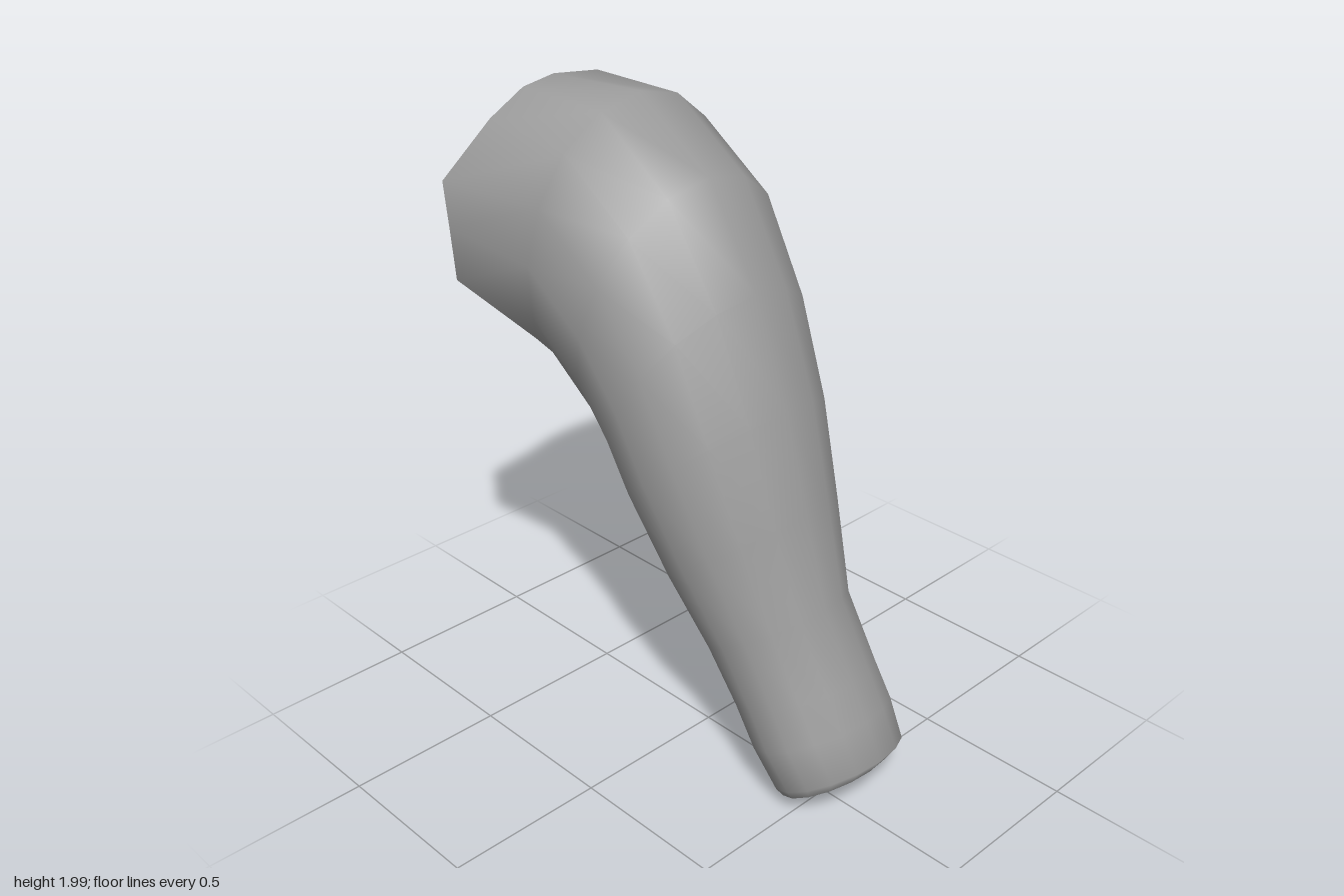
import * as THREE from 'three';

const SIDES = 16;

// Ragged shoulder opening, from the top round the front, underarm and back
const shoulderRim = [
  [-0.61, 2.0, 0.03], [-0.615, 1.98, 0.14], [-0.62, 1.91, 0.26], [-0.69, 1.74, 0.39],
  [-0.68, 1.6, 0.385], [-0.67, 1.44, 0.38], [-0.5, 1.26, 0.23], [-0.49, 1.19, 0.14],
  [-0.48, 1.1, 0.05], [-0.48, 1.22, -0.12], [-0.55, 1.32, -0.24], [-0.65, 1.45, -0.34],
  [-0.68, 1.53, -0.38], [-0.66, 1.7, -0.36], [-0.63, 1.87, -0.28], [-0.615, 1.98, -0.14],
];

// Cross-sections down the sleeve: outer x, y, inner x, y, front z, back z
const sections = [
  [-0.29, 2.0, -0.42, 1.125, 0.36, -0.4],
  [0.0, 1.82, -0.25, 1.02, 0.375, -0.385],
  [0.18, 1.53, -0.2, 0.92, 0.35, -0.36],
  [0.31, 1.22, -0.16, 0.83, 0.33, -0.33],
  [0.4, 0.93, -0.02, 0.62, 0.29, -0.28],
  [0.48, 0.65, 0.11, 0.43, 0.235, -0.23],
  [0.58, 0.43, 0.2, 0.29, 0.215, -0.25],
  [0.63, 0.32, 0.28, 0.16, 0.21, -0.265],
  [0.68, 0.2, 0.36, 0.035, 0.185, -0.26],
  [0.65, 0.15, 0.385, 0.01, 0.16, -0.22],
];

// Oval ring starting at the outer edge and turning towards the front
function ovalRing([ox, oy, ix, iy, front, back]) {
  return Array.from({ length: SIDES }, (_, k) => {
    const a = (k / SIDES) * Math.PI * 2;
    const t = (1 - Math.cos(a)) / 2;
    const z = (front + back) / 2 + ((front - back) / 2) * Math.sin(a);
    return [ox + (ix - ox) * t, oy + (iy - oy) * t, z];
  });
}

// Joins the rings into one smooth open tube, leaving out the quads that skip() names
function loft(rings, skip) {
  const index = [];
  for (let r = 0; r < rings.length - 1; r++) {
    for (let k = 0; k < SIDES; k++) {
      if (skip(r, k)) continue;
      const a = r * SIDES + k;
      const b = r * SIDES + ((k + 1) % SIDES);
      index.push(a, b, a + SIDES, b, b + SIDES, a + SIDES);
    }
  }
  const geometry = new THREE.BufferGeometry();
  geometry.setAttribute('position', new THREE.Float32BufferAttribute(rings.flat(2), 3));
  geometry.setIndex(index);
  geometry.computeVertexNormals();
  return geometry;
}

export function createModel() {
  const group = new THREE.Group();
  group.name = 'armSleeve';

  const rings = [shoulderRim, ...sections.map(ovalRing)];
  // Small hole just above the cuff, on the front of the inner side
  const hole = (r, k) => r === rings.length - 3 && k === 6;

  const sleeve = new THREE.Mesh(
    loft(rings, hole),
    new THREE.MeshStandardMaterial({ color: 0x9a9a9a, side: THREE.DoubleSide })
  );
  sleeve.name = 'sleeve';
  group.add(sleeve);
  return group;
}
